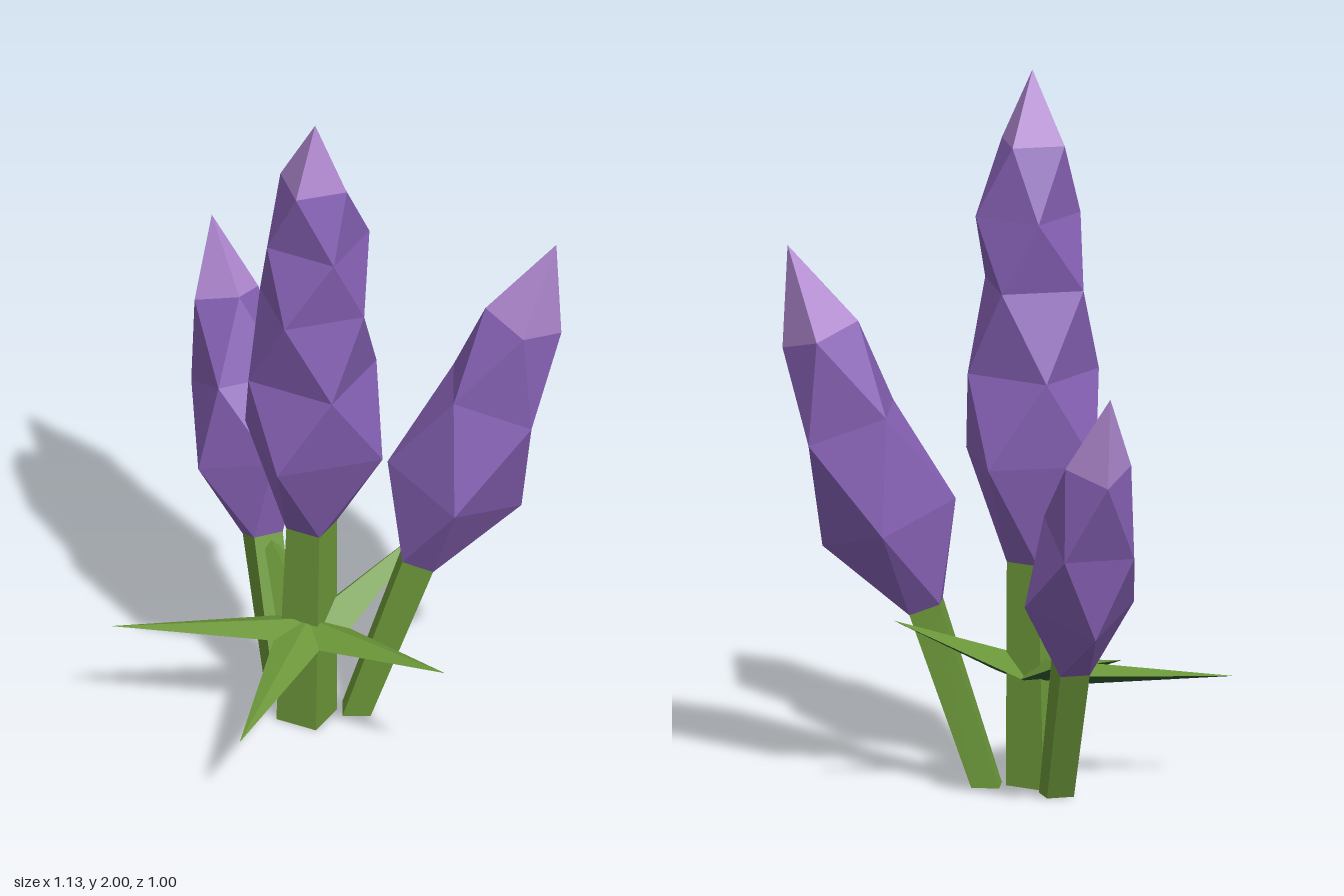
import * as THREE from 'three';

const mat = (name, color) => {
  const m = new THREE.MeshStandardMaterial({ color, flatShading: true });
  m.name = name;
  return m;
};

// Four corners around a centre, in the plane square to the axis (slope x, slope z per unit y)
function ring([x, y, z, r], degrees, [sx, sz]) {
  return [0, 1, 2, 3].map(i => {
    const a = THREE.MathUtils.degToRad(degrees + i * 90);
    const dx = r * Math.cos(a), dz = r * Math.sin(a);
    return [x + dx, y - sx * dx - sz * dz, z + dz];
  });
}

// Triangles joining two rings
function band(a, b) {
  const out = [];
  a.forEach((p, i) => {
    const j = (i + 1) % a.length;
    out.push(p, b[i], a[j], b[i], b[j], a[j]);
  });
  return out;
}

function mesh(name, corners, material) {
  const g = new THREE.BufferGeometry();
  g.setAttribute('position', new THREE.Float32BufferAttribute(corners.flat(), 3));
  g.computeVertexNormals();
  const m = new THREE.Mesh(g, material);
  m.name = name;
  return m;
}

export function createModel() {
  const green = mat('leafGreen', 0x6b9639);
  const darkGreen = mat('leafUnderside', 0x315c30);
  const purple = mat('petalPurple', 0x8560b3);
  const lilac = mat('tipLilac', 0xb088d0);
  const model = new THREE.Group();
  model.name = 'flowerCluster';

  // Each spike: foot and rings as [x, y, z, radius], then the apex
  const spikes = [
    {
      name: 'middle', turn: 45, slope: [0, 0], foot: [-0.038, 0, -0.05, 0.088],
      rings: [[-0.02, 0.63, -0.045, 0.073], [-0.005, 0.92, -0.03, 0.215], [0, 1.16, -0.012, 0.185],
        [0.012, 1.4, 0.012, 0.163], [0.022, 1.6, -0.005, 0.148], [0.022, 1.8, 0.022, 0.104]],
      apex: [0.035, 2, 0.037],
    },
    {
      name: 'left', turn: 17, slope: [0.33, -0.2], foot: [0.07, 0, -0.14, 0.055],
      rings: [[0.227, 0.5, -0.205, 0.06], [0.31, 0.74, -0.265, 0.185], [0.4, 1.02, -0.32, 0.152],
        [0.475, 1.27, -0.36, 0.105]],
      apex: [0.557, 1.52, -0.4],
    },
    {
      name: 'right', turn: -5, slope: [-0.34, -0.28], foot: [-0.155, 0, -0.13, 0.055],
      rings: [[-0.285, 0.405, -0.255, 0.06], [-0.35, 0.6, -0.31, 0.158], [-0.422, 0.81, -0.37, 0.142],
        [-0.492, 1.03, -0.43, 0.095]],
      apex: [-0.562, 1.24, -0.475],
    },
  ];

  for (const s of spikes) {
    const group = new THREE.Group();
    group.name = s.name + 'Flower';

    // Square stem with a flat foot
    const foot = ring(s.foot, s.turn, [0, 0]);
    const rings = s.rings.map((r, i) => ring(r, s.turn + 45 * i, s.slope));
    const [a, b, c, d] = foot;
    group.add(mesh('stem', [...band(foot, rings[0]), a, b, c, a, c, d], green));

    // Faceted blossom, each ring turned an eighth from the last
    const petals = [];
    for (let i = 0; i + 1 < rings.length; i++) petals.push(...band(rings[i], rings[i + 1]));
    group.add(mesh('petals', petals, purple));

    // Pale pointed tip
    const last = rings[rings.length - 1];
    group.add(mesh('tip', last.flatMap((p, i) => [p, s.apex, last[(i + 1) % 4]]), lilac));
    model.add(group);
  }

  // Star of pointed leaves around the stems, each with a ridge above and below
  const tips = [[0.465, 0.358, 0.08], [0.04, 0.235, 0.49], [-0.5, 0.31, 0.235],
    [-0.32, 0.43, -0.3], [0.185, 0.51, -0.435]];
  const top = [-0.01, 0.345, -0.01], bottom = [-0.01, 0.265, -0.01];
  const valleys = tips.map((p, i) => {
    const q = tips[(i + 1) % 5];
    const a = new THREE.Vector2(p[0], p[2]).normalize();
    const v = a.add(new THREE.Vector2(q[0], q[2]).normalize()).setLength(0.115);
    return [v.x - 0.01, 0.31, v.y - 0.01];
  });
  const upper = [], under = [];
  tips.forEach((tip, i) => {
    const before = valleys[(i + 4) % 5], after = valleys[i];
    upper.push(top, tip, before, top, after, tip);
    under.push(bottom, before, tip, bottom, tip, after);
  });
  const leaves = new THREE.Group();
  leaves.name = 'leaves';
  leaves.add(mesh('leafTops', upper, green), mesh('leafUndersides', under, darkGreen));
  model.add(leaves);
  return model;
}
